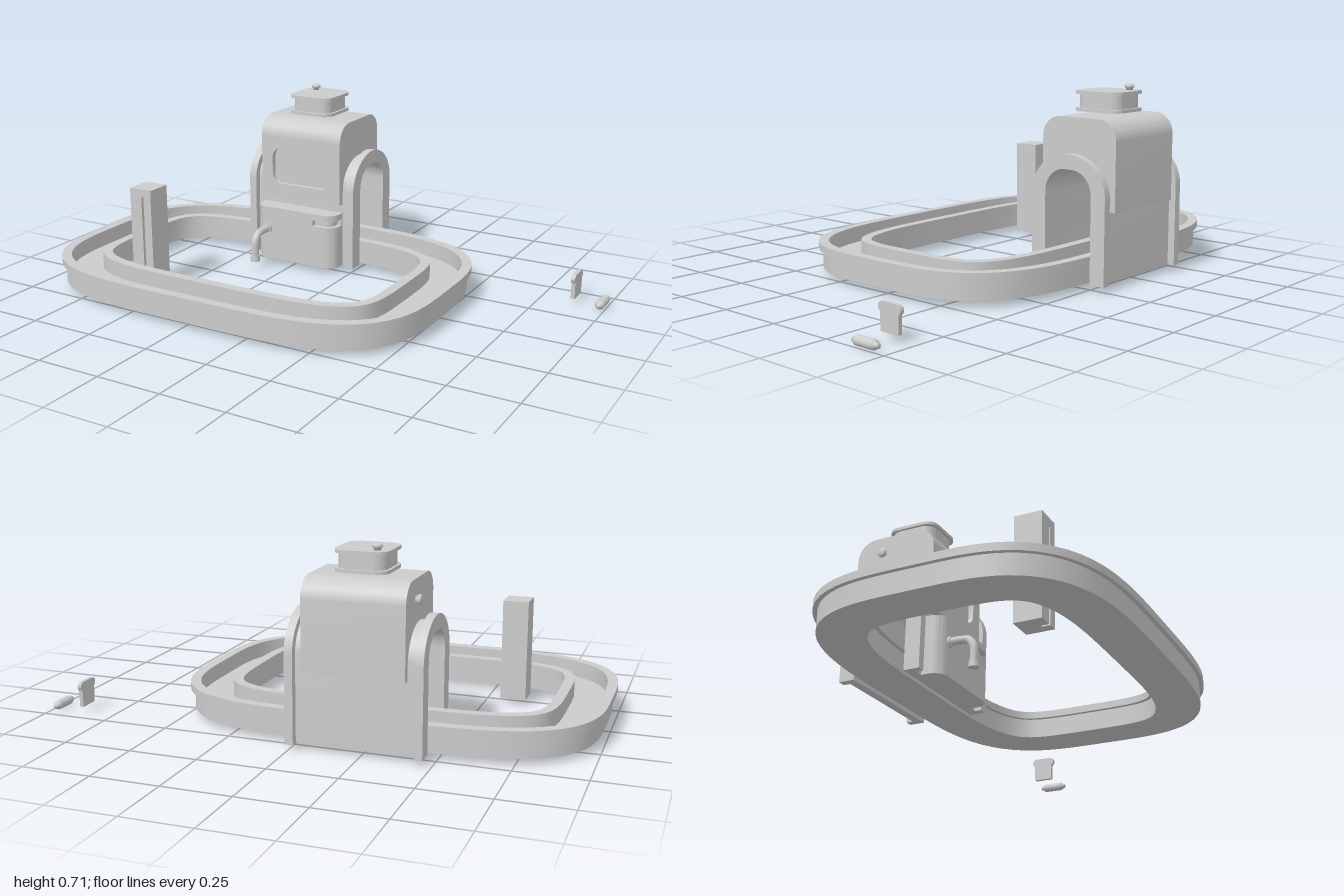
import * as THREE from 'three';
import { toCreasedNormals } from 'three/addons/utils/BufferGeometryUtils.js';

const grey = new THREE.MeshStandardMaterial({ color: 0xcccccc });
const HX = -0.23, HZ = -0.405; // house centre

export function createModel() {
  const model = new THREE.Group();
  const add = (name, geo, x = 0, y = 0, z = 0, parent = model) => {
    const mesh = new THREE.Mesh(geo, grey);
    mesh.name = name;
    mesh.position.set(x, y, z);
    parent.add(mesh);
    return mesh;
  };
  const extrude = (shape, depth) => toCreasedNormals(
    new THREE.ExtrudeGeometry(shape, { depth, bevelEnabled: false, curveSegments: 12 }), 0.6);
  // Shape (z, y) extruded along x, centred on x = 0
  const alongX = (shape, width) => extrude(shape, width).translate(0, 0, -width / 2).rotateY(-Math.PI / 2);
  // Shape (x, -z) extruded upwards
  const upwards = (shape, height) => extrude(shape, height).rotateX(-Math.PI / 2);

  // Arch outline with elliptical shoulders
  const arch = (path, half, bottom, top, rx, ry) => {
    path.moveTo(-half, bottom);
    path.lineTo(half, bottom);
    path.lineTo(half, top - ry);
    path.absellipse(half - rx, top - ry, rx, ry, 0, Math.PI / 2, false);
    path.lineTo(rx - half, top);
    path.absellipse(rx - half, top - ry, rx, ry, Math.PI / 2, Math.PI, false);
    path.closePath();
    return path;
  };
  // Archway with an open tunnel, drawn as one outline
  const tunnelShape = (half, top, rx, ry) => {
    const s = new THREE.Shape();
    s.moveTo(0.1, 0.02);
    s.lineTo(half, 0.02);
    s.lineTo(half, top - ry);
    s.absellipse(half - rx, top - ry, rx, ry, 0, Math.PI / 2, false);
    s.absellipse(rx - half, top - ry, rx, ry, Math.PI / 2, Math.PI, false);
    s.lineTo(-half, 0.02);
    s.lineTo(-0.1, 0.02);
    s.lineTo(-0.1, 0.335);
    s.absellipse(-0.015, 0.335, 0.085, 0.085, Math.PI, Math.PI / 2, true);
    s.absellipse(0.015, 0.335, 0.085, 0.085, Math.PI / 2, 0, true);
    s.closePath();
    return s;
  };
  const roundRect = (path, cx, cy, w, h, r) => {
    const x = w / 2 - r, y = h / 2 - r;
    [[x, y], [-x, y], [-x, -y], [x, -y]].forEach(([px, py], i) =>
      path.absarc(cx + px, cy + py, r, i * Math.PI / 2, (i + 1) * Math.PI / 2, false));
    path.closePath();
    return path;
  };

  // Conveyor track: a channel profile swept round a squarish loop
  add('track', trackGeometry(), HX, 0, 0.027);

  // House straddling the track
  const house = new THREE.Group();
  house.name = 'house';
  house.position.set(HX, 0, HZ);
  model.add(house);
  for (const side of [-1, 1]) {
    add('tunnelFlange', alongX(tunnelShape(0.16, 0.474, 0.16, 0.145), 0.03), side * 0.226, 0, 0, house);
  }
  add('tunnel', alongX(tunnelShape(0.133, 0.45, 0.133, 0.12), 0.43), 0, 0, 0, house);

  // Upper body, stepped back behind the front panel
  const body = new THREE.Shape();
  body.moveTo(0.1, 0.275);
  body.lineTo(0.14, 0.275);
  body.lineTo(0.14, 0.52);
  body.lineTo(0.16, 0.52);
  body.absarc(0.085, 0.523, 0.075, 0, Math.PI / 2, false);
  body.absarc(-0.085, 0.523, 0.075, Math.PI / 2, Math.PI, false);
  body.lineTo(-0.16, 0.275);
  body.lineTo(-0.1, 0.275);
  body.lineTo(-0.1, 0.335);
  body.absellipse(-0.015, 0.335, 0.085, 0.085, Math.PI, Math.PI / 2, true);
  body.absellipse(0.015, 0.335, 0.085, 0.085, Math.PI / 2, 0, true);
  body.closePath();
  add('body', alongX(body, 0.36), 0, 0, 0, house);

  // Front panel with a recessed window
  const panel = arch(new THREE.Shape(), 0.18, 0.275, 0.52, 0.0005, 0.0005);
  panel.holes.push(roundRect(new THREE.Path(), 0, 0.402, 0.26, 0.146, 0.04));
  add('windowPanel', extrude(panel, 0.02), 0, 0, 0.14, house);

  // Lid with rims at top and bottom, and its knob
  const lid = [[0.61, 0.012, 0.19, 0.2], [0.622, 0.051, 0.17, 0.18], [0.673, 0.012, 0.19, 0.2]];
  for (const [y, h, w, d] of lid) {
    add('lid', upwards(roundRect(new THREE.Shape(), 0, 0, w, d, 0.045), h), 0, y, 0, house);
  }
  const knob = new THREE.LatheGeometry([[0, 0], [0.012, 0], [0.012, 0.006], [0.018, 0.01],
    [0.018, 0.017], [0.013, 0.022], [0, 0.022]].map(p => new THREE.Vector2(...p)), 20);
  add('lidKnob', knob, -0.05, 0.685, -0.055, house);
  add('sideKnob', knob, -0.18, 0.53, -0.05, house).rotation.z = Math.PI / 2;

  // Front counter with a grip notch cut in one corner
  const counter = (notch) => {
    const s = new THREE.Shape();
    s.moveTo(-0.18, -0.12);
    s.lineTo(-0.18, -0.16);
    s.absarc(-0.13, -0.16, 0.05, Math.PI, Math.PI * 1.5, false);
    if (notch) {
      s.lineTo(0.085, -0.21);
      s.lineTo(0.085, -0.19);
      s.absarc(0.13, -0.16, 0.03, Math.PI * 1.5, Math.PI * 2, false);
      s.lineTo(0.16, -0.14);
      s.lineTo(0.18, -0.14);
    } else s.absarc(0.13, -0.16, 0.05, Math.PI * 1.5, Math.PI * 2, false);
    s.lineTo(0.18, -0.12);
    s.closePath();
    return s;
  };
  for (const [y, h, notch] of [[0.02, 0.17, false], [0.19, 0.025, true], [0.215, 0.025, false]]) {
    add('counter', upwards(counter(notch), h), 0, y, 0, house);
  }

  // Spout
  const bend = new THREE.CatmullRomCurve3([[0, 0.15, 0.2], [0, 0.15, 0.255], [0, 0.145, 0.285],
    [0, 0.12, 0.305], [0, 0.085, 0.308], [0, 0.055, 0.308]].map(p => new THREE.Vector3(...p)));
  add('spout', new THREE.TubeGeometry(bend, 24, 0.015, 14), -0.125, 0, 0, house);
  add('spoutTip', new THREE.CylinderGeometry(0.018, 0.02, 0.025, 16), -0.125, 0.05, 0.308, house);
  add('spoutCollar', new THREE.CylinderGeometry(0.02, 0.02, 0.01, 16).rotateX(Math.PI / 2),
    -0.125, 0.15, 0.215, house);

  // Post with a narrow slot in its front
  const post = new THREE.Shape([[-0.048, -0.05], [0.004, -0.05], [0.004, -0.02], [0.014, -0.02],
    [0.014, -0.05], [0.048, -0.05], [0.048, 0.05], [-0.048, 0.05]].map(p => new THREE.Vector2(...p)));
  add('post', upwards(post, 0.35), -0.608, 0.02, 0.25);
  add('postCap', new THREE.BoxGeometry(0.096, 0.03, 0.1), -0.608, 0.385, 0.25);

  // Slice of bread standing upright
  const bread = new THREE.Shape();
  bread.moveTo(-0.038, 0.022);
  bread.lineTo(0.038, 0.022);
  bread.lineTo(0.04, 0.085);
  bread.bezierCurveTo(0.055, 0.095, 0.05, 0.117, 0.03, 0.117);
  bread.lineTo(-0.03, 0.117);
  bread.bezierCurveTo(-0.05, 0.117, -0.055, 0.095, -0.04, 0.085);
  bread.closePath();
  add('breadSlice', alongX(bread, 0.015), 0.878, 0, HZ);

  // Sausage with small end nubs
  const sausage = [[0, -0.056], [0.009, -0.054], [0.009, -0.045], [0.015, -0.042], [0.017, -0.036],
    [0.017, 0.036], [0.015, 0.042], [0.009, 0.045], [0.009, 0.054], [0, 0.056]];
  add('sausage', new THREE.LatheGeometry(sausage.map(p => new THREE.Vector2(...p)), 20)
    .rotateX(Math.PI / 2), 0.981, 0.017, HZ);
  return model;
}

// Sweeps a closed (offset, y) profile round a superellipse loop
function trackGeometry() {
  const profile = [[0.082, 0.022], [0.082, 0.095], [0.0975, 0.095], [0.0975, 0.122], [0.06, 0.122],
    [0.06, 0.06], [-0.06, 0.06], [-0.06, 0.122], [-0.0975, 0.122], [-0.0975, 0.095],
    [-0.082, 0.095], [-0.082, 0.022]];
  const a = 0.6725, b = 0.4325, power = 4, segments = 120, n = profile.length;
  const position = [], index = [];
  for (let i = 0; i < segments; i++) {
    const t = (i / segments) * Math.PI * 2, c = Math.cos(t), s = Math.sin(t);
    const r = Math.pow(Math.abs(c) ** power + Math.abs(s) ** power, -1 / power);
    const x = a * r * c, z = b * r * s;
    const normal = new THREE.Vector2((r * c) ** 3 / a, (r * s) ** 3 / b).normalize();
    for (const [o, y] of profile) position.push(x + normal.x * o, y, z + normal.y * o);
    const next = ((i + 1) % segments) * n;
    for (let j = 0; j < n; j++) {
      const k = (j + 1) % n;
      index.push(i * n + j, i * n + k, next + j, i * n + k, next + k, next + j);
    }
  }
  const geo = new THREE.BufferGeometry();
  geo.setAttribute('position', new THREE.Float32BufferAttribute(position, 3));
  geo.setIndex(index);
  return toCreasedNormals(geo, 0.6);
}
